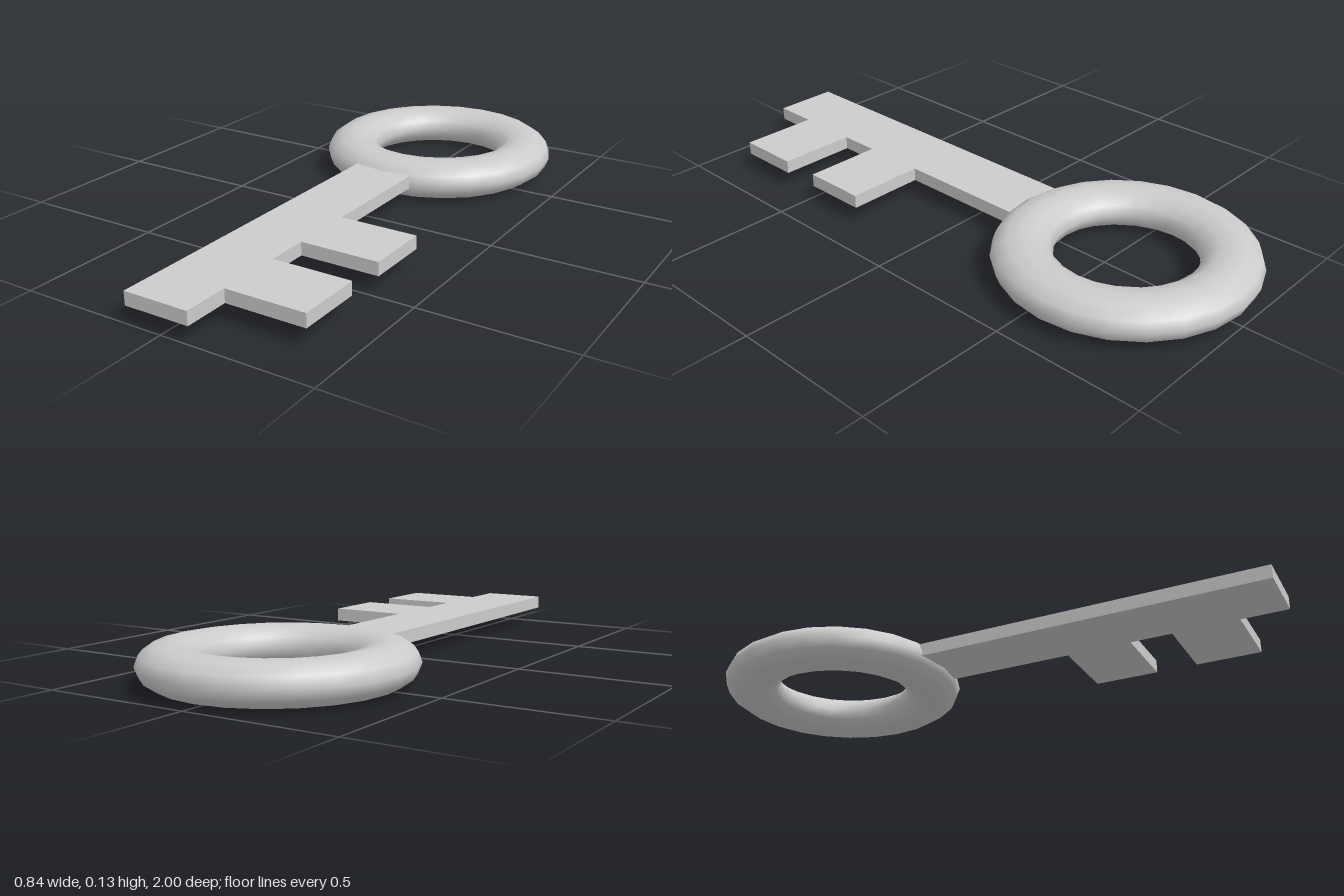
import * as THREE from 'three';

export function createModel() {
  const key = new THREE.Group();
  key.name = 'key';
  const material = new THREE.MeshStandardMaterial({ color: 0xcccccc });

  // Bow: a slightly flattened ring lying flat
  const ring = new THREE.TorusGeometry(0.3225, 0.0975, 12, 24);
  ring.scale(1, 1, 0.692);
  ring.rotateX(-Math.PI / 2);
  const bow = new THREE.Mesh(ring, material);
  bow.name = 'bow';
  bow.position.set(0, 0.0675, -0.58);
  key.add(bow);

  // Shank and two teeth: one flat outline, shape y runs towards the back
  const left = -0.122, right = 0.1, tip = 0.37;
  const outline = new THREE.Shape();
  outline.moveTo(left, -1);
  outline.lineTo(right, -1);
  for (const [front, back] of [[0.845, 0.622], [0.48, 0.257]]) {
    outline.lineTo(right, -front);
    outline.lineTo(tip, -front);
    outline.lineTo(tip, -back);
    outline.lineTo(right, -back);
  }
  outline.lineTo(right, 0.25);
  outline.lineTo(left, 0.25);
  outline.closePath();

  const blade = new THREE.ExtrudeGeometry(outline, { depth: 0.045, bevelEnabled: false });
  blade.rotateX(-Math.PI / 2);
  const shank = new THREE.Mesh(blade, material);
  shank.name = 'shankWithTeeth';
  shank.position.y = 0.056;
  key.add(shank);

  return key;
}
